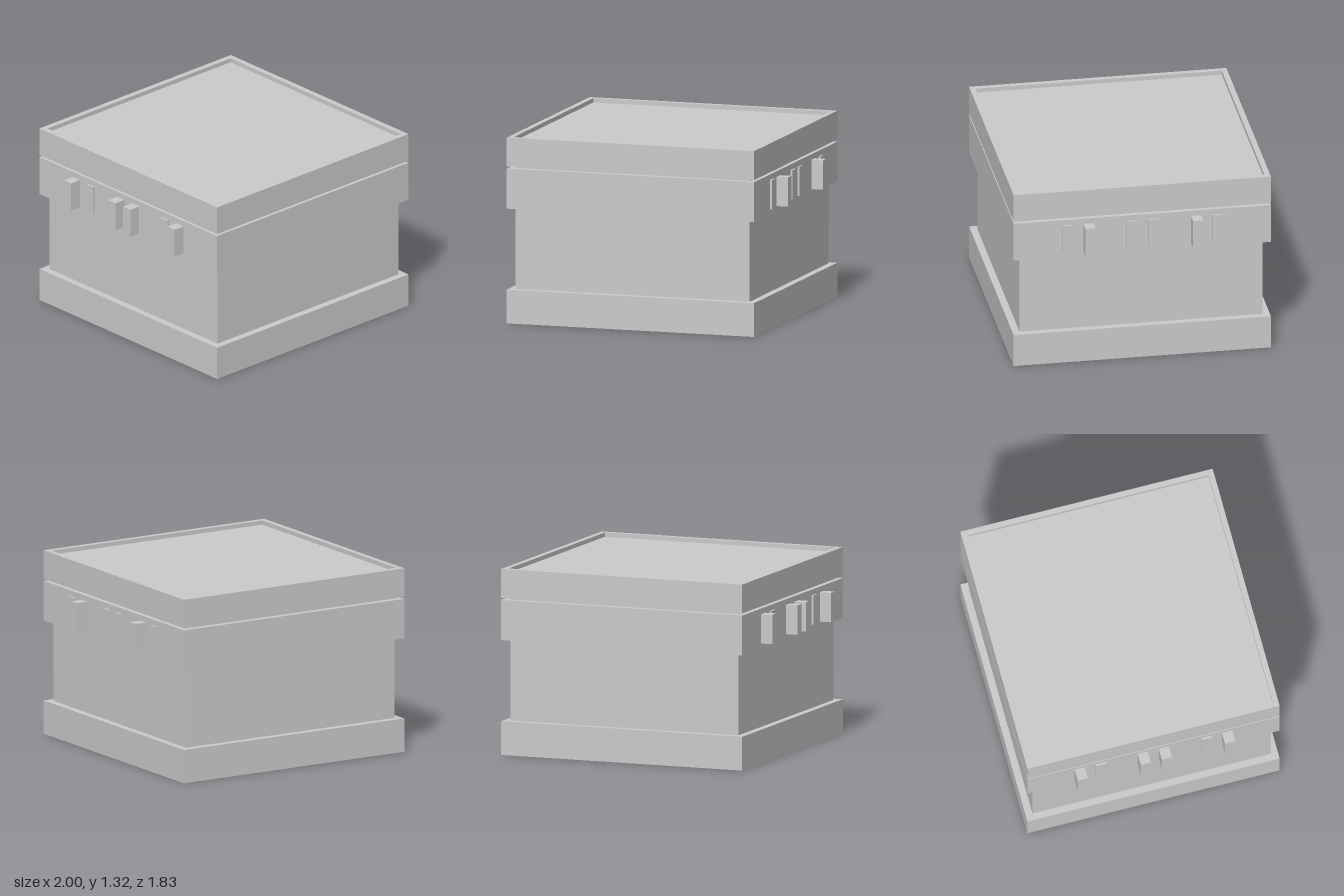
import * as THREE from 'three';

const HALF = 0.915;   // outer half width of base, band and lid
const BODY = 0.865;   // half width of the recessed walls
const CELL = 0.47, PITCH = 0.565; // underside grid

export function createModel() {
  const model = new THREE.Group();
  const material = new THREE.MeshStandardMaterial({ color: 0xcccccc, flatShading: true });

  const add = (name, geometry) => {
    const mesh = new THREE.Mesh(geometry, material);
    mesh.name = name;
    model.add(mesh);
    return mesh;
  };

  // Square block between two heights
  const block = (name, half, y0, y1) =>
    add(name, new THREE.BoxGeometry(half * 2, y1 - y0, half * 2)).position.y = (y0 + y1) / 2;

  // Square outline centred on (x, z), drawn so that it lies flat after rotation
  const square = (Type, x, z, size) => {
    const h = size / 2;
    return new Type([[-h, -h], [h, -h], [h, h], [-h, h]]
      .map(([a, b]) => new THREE.Vector2(x + a, -z + b)));
  };

  // Flat square slab with square openings [x, z, size]
  const slab = (name, y0, y1, holes) => {
    const shape = square(THREE.Shape, 0, 0, HALF * 2);
    shape.holes = holes.map(([x, z, size]) => square(THREE.Path, x, z, size));
    const geometry = new THREE.ExtrudeGeometry(shape, { depth: y1 - y0, bevelEnabled: false });
    geometry.rotateX(-Math.PI / 2).translate(0, y0, 0);
    add(name, geometry);
  };

  // Base: a nine-cell grid underneath, one corner cell deeper than the rest
  const cells = [];
  for (const i of [-1, 0, 1])
    for (const j of [-1, 0, 1]) cells.push([i * PITCH, j * PITCH, CELL]);
  slab('baseGrid', 0, 0.06, cells);
  slab('baseFloor', 0.06, 0.1, [[-PITCH, -PITCH, CELL]]);
  block('base', HALF, 0.1, 0.24);

  // Walls, upper band and the thin seam below the lid
  block('body', BODY, 0.24, 0.815);
  block('band', HALF, 0.815, 1.1);
  block('seam', 0.87, 1.1, 1.115);

  // Lid with a shallow recessed top
  block('lid', HALF, 1.115, 1.29);
  slab('lidRim', 1.29, 1.32, [[0, 0, 0.875 * 2]]);

  // Side keys: each is pushed in on one side and out on the other
  const keys = [[-0.535, -1], [-0.383, 1], [-0.078, -1], [0.075, -1], [0.383, 1], [0.533, -1]];
  for (const [z, longSide] of keys) {
    for (const side of [-1, 1]) {
      const reach = side === longSide ? 1 : 0.93;
      const inner = 0.9;
      const key = add(side > 0 ? 'leftKey' : 'rightKey',
        new THREE.BoxGeometry(reach - inner, 0.208, 0.073));
      key.position.set(side * (reach + inner) / 2, 0.956, z);
    }
  }
  return model;
}
